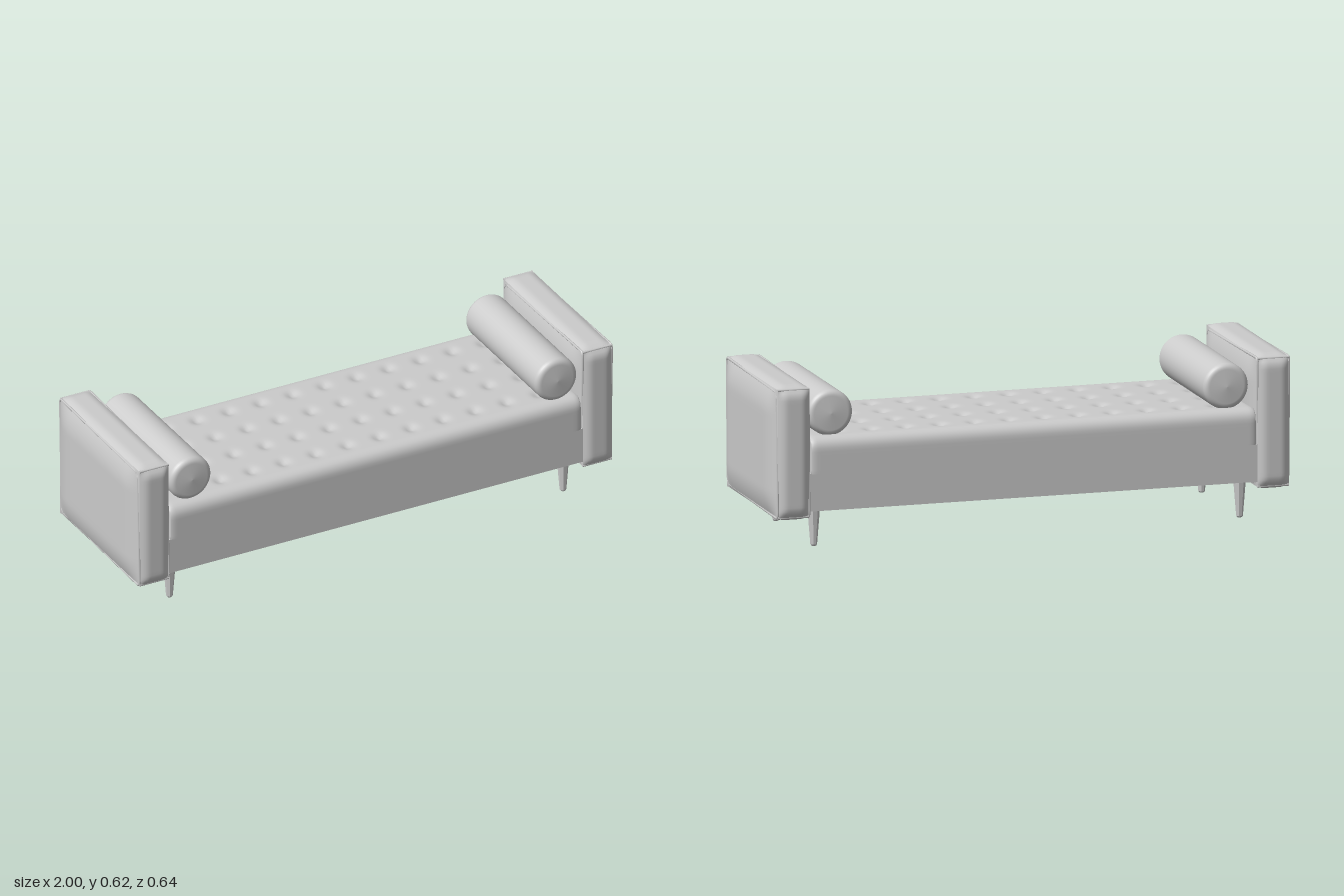
import * as THREE from 'three';
import { mergeVertices } from 'three/addons/utils/BufferGeometryUtils.js';

const grey = new THREE.MeshStandardMaterial({ color: 0xcccccc });
const clamp = THREE.MathUtils.clamp;

function part(name, geometry, x = 0, y = 0, z = 0) {
  const mesh = new THREE.Mesh(geometry, grey);
  mesh.name = name;
  mesh.position.set(x, y, z);
  return mesh;
}

// Box whose six faces each swell into a padded panel, with crisp seams between them
function paddedBox(size, bulge, edge) {
  const geo = new THREE.BoxGeometry(...size, 14, 36, 36);
  const pos = geo.attributes.position, nor = geo.attributes.normal;
  for (let i = 0; i < pos.count; i++) {
    const p = [pos.getX(i), pos.getY(i), pos.getZ(i)];
    const n = [nor.getX(i), nor.getY(i), nor.getZ(i)];
    const axis = n.findIndex((v) => Math.abs(v) > 0.5);
    const side = n[axis] > 0 ? 0 : 1;
    let f = bulge[axis][side];
    for (let k = 0; k < 3; k++) {
      if (k === axis) continue;
      const t = clamp((size[k] / 2 - Math.abs(p[k])) / edge[axis], 0, 1);
      f *= 1 - (1 - t) ** 2;
    }
    p[axis] += n[axis] * f;
    pos.setXYZ(i, ...p);
  }
  geo.computeVertexNormals();
  return geo;
}

// Closed piping loop around a panel in the y-z plane
function pipingLoop(h, d) {
  const r = 0.012, path = new THREE.CurvePath();
  const corners = [[1, 1], [1, -1], [-1, -1], [-1, 1]];
  const pts = [];
  corners.forEach(([sy, sz], i) => {
    for (let k = 0; k <= 4; k++) {
      const a = -i * Math.PI / 2 + (1 - k / 4) * Math.PI / 2;
      pts.push(new THREE.Vector3(0, sy * (h / 2 - r) + r * Math.sin(a + 0), sz * (d / 2 - r) + r * Math.cos(a)));
    }
  });
  // order each corner so that the loop runs without crossing itself
  pts.sort((a, b) => Math.atan2(a.y / h, a.z / d) - Math.atan2(b.y / h, b.z / d));
  pts.forEach((p, i) => path.add(new THREE.LineCurve3(p, pts[(i + 1) % pts.length])));
  return new THREE.TubeGeometry(path, 160, 0.005, 6, true);
}

// Mattress: rounded upper edges and a grid of tufts pressed into the top
function mattressGeometry(w, h, d) {
  const r = 0.045;
  let geo = new THREE.BoxGeometry(w, h, d, 150, 10, 56);
  geo.deleteAttribute('uv');
  geo.deleteAttribute('normal');
  geo = mergeVertices(geo);
  const pos = geo.attributes.position;
  const p = new THREE.Vector3(), q = new THREE.Vector3();
  for (let i = 0; i < pos.count; i++) {
    p.fromBufferAttribute(pos, i);
    const onTop = p.y > h / 2 - 1e-4;
    const x = p.x, z = p.z;
    q.set(clamp(x, -w / 2 + 0.02, w / 2 - 0.02), Math.min(p.y, h / 2 - r), clamp(z, -d / 2 + r, d / 2 - r));
    const off = p.clone().sub(q);
    if (off.lengthSq() > 1e-9) {
      const reach = Math.abs(off.x) > 1e-6 && Math.abs(off.z) < 1e-6 && off.y < 1e-6 ? 0.02 : r;
      off.normalize().multiplyScalar(reach);
      off.x = clamp(off.x, -0.02, 0.02);
      p.copy(q).add(off);
    }
    if (onTop) {
      for (let c = 0; c < 12; c++) {
        for (let row = 0; row < 4; row++) {
          const dx = x - (c - 5.5) * 0.132, dz = z - (row - 1.5) * 0.14;
          p.y -= 0.013 * Math.exp(-(dx * dx) / 0.0004 - (dz * dz) / 0.0006);
        }
      }
    }
    pos.setXYZ(i, p.x, p.y, p.z);
  }
  geo.computeVertexNormals();
  return geo;
}

// Bolster: round cylinder with softened, slightly domed ends
function bolsterGeometry(radius, length) {
  const e = 0.022, pts = [new THREE.Vector2(0, -length / 2)];
  for (let k = 0; k <= 6; k++) {
    const a = (k / 6) * Math.PI / 2;
    pts.push(new THREE.Vector2(radius - e + e * Math.sin(a), -length / 2 + 0.006 + e * (1 - Math.cos(a))));
  }
  const mirrored = pts.slice().reverse().map((v) => new THREE.Vector2(v.x, -v.y));
  return new THREE.LatheGeometry([...pts, ...mirrored], 40).rotateX(Math.PI / 2);
}

// Tapered faceted leg with a softened foot
function legGeometry() {
  const profile = [[0, 0], [0.009, 0], [0.0125, 0.005], [0.024, 0.15]].map(([x, y]) => new THREE.Vector2(x, y));
  const geo = new THREE.LatheGeometry(profile, 8).rotateY(Math.PI / 8).toNonIndexed();
  geo.computeVertexNormals();
  return geo;
}

export function createModel() {
  const group = new THREE.Group();
  group.name = 'daybed';

  // Base frame and mattress
  group.add(part('base', new THREE.BoxGeometry(1.72, 0.14, 0.61), 0, 0.215, 0));
  group.add(part('mattress', mattressGeometry(1.7, 0.135, 0.625), 0, 0.3525, -0.002));

  // Padded end panels with piping
  const w = 0.12, h = 0.48, d = 0.61;
  const armGeo = paddedBox([w, h, d], [[0.022, 0.02], [0.012, 0.012], [0.017, 0.017]], [0.1, 0.035, 0.035]);
  const loop = pipingLoop(h, d);
  const edgePiping = new THREE.CylinderGeometry(0.005, 0.005, w, 8).rotateZ(Math.PI / 2);
  for (const s of [-1, 1]) {
    const arm = new THREE.Group();
    arm.name = s > 0 ? 'leftArm' : 'rightArm';
    arm.position.set(s * 0.918, 0.365, 0);
    if (s < 0) arm.rotation.y = Math.PI;
    arm.add(part('armPanel', armGeo));
    for (const e of [-1, 1]) {
      arm.add(part('armPiping', loop, e * w / 2, 0, 0));
      for (const f of [-1, 1]) {
        arm.add(part('edgePiping', edgePiping, 0, e * (h / 2 - 0.002), f * (d / 2 - 0.002)));
      }
    }
    group.add(arm);
  }

  // Bolsters
  const bolster = bolsterGeometry(0.086, 0.57);
  group.add(part('rightBolster', bolster, -0.75, 0.5, 0.004));
  group.add(part('leftBolster', bolster, 0.765, 0.5, 0.004));

  // Legs
  const leg = legGeometry();
  for (const x of [-0.815, 0.815]) {
    for (const z of [-0.223, 0.232]) group.add(part('leg', leg, x, 0, z));
  }
  return group;
}
